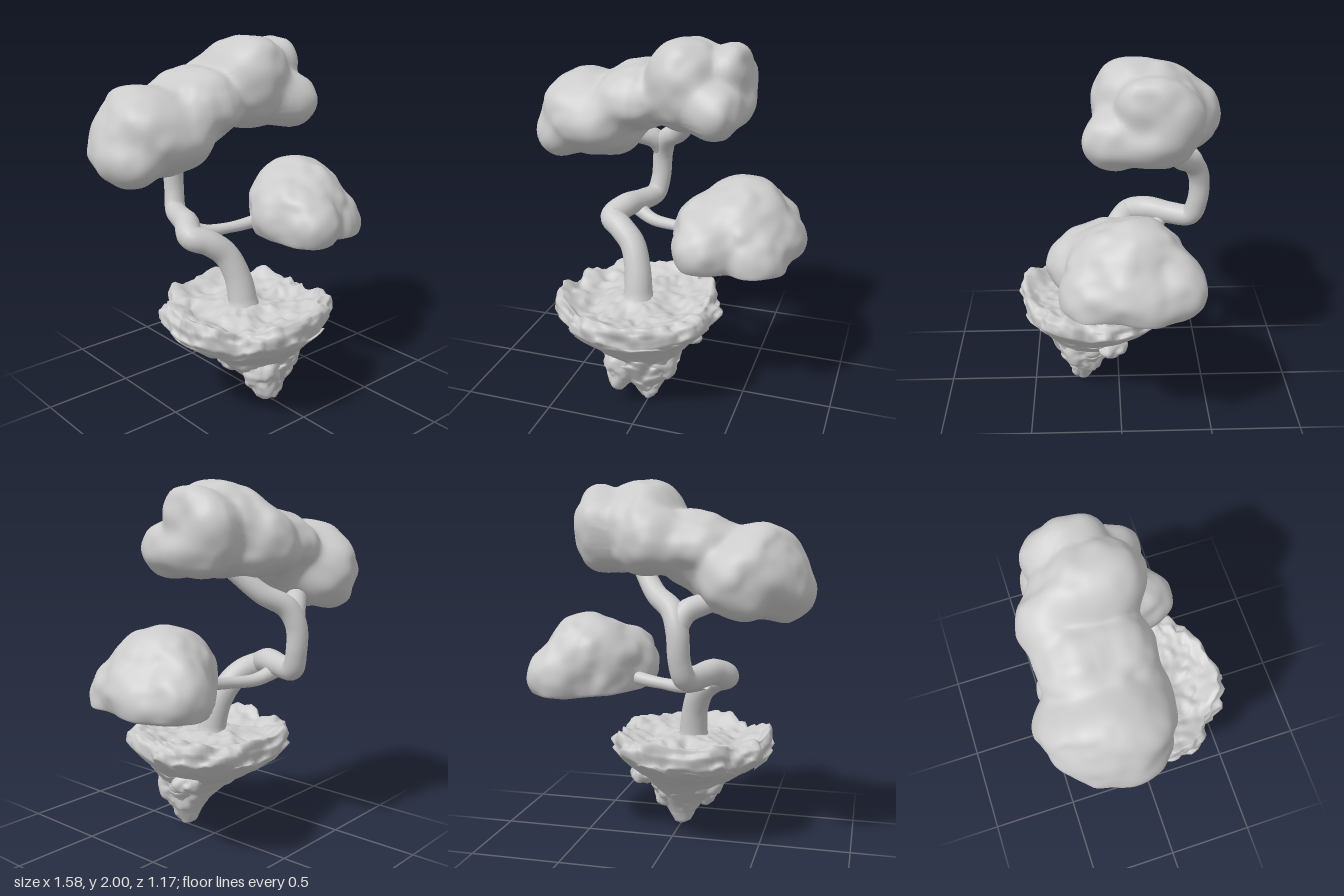
import * as THREE from 'three';
import { mergeVertices } from 'three/addons/utils/BufferGeometryUtils.js';

const material = new THREE.MeshStandardMaterial({ color: 0xcccccc, side: THREE.DoubleSide });

// Seeded value noise in the range -1..1
function hash(x, y, z) {
  const s = Math.sin(x * 127.1 + y * 311.7 + z * 74.7) * 43758.5453;
  return (s - Math.floor(s)) * 2 - 1;
}
function noise(x, y, z) {
  const [i, j, k] = [x, y, z].map(Math.floor);
  const [u, v, w] = [x - i, y - j, z - k].map((t) => t * t * (3 - 2 * t));
  const mix = THREE.MathUtils.lerp;
  const edge = (b, c) => mix(hash(i, j + b, k + c), hash(i + 1, j + b, k + c), u);
  return mix(mix(edge(0, 0), edge(1, 0), v), mix(edge(0, 1), edge(1, 1), v), w);
}

// Weld a geometry so that smooth normals run across its seams
function weld(geometry) {
  geometry.deleteAttribute('uv');
  geometry.deleteAttribute('normal');
  return mergeVertices(geometry, 1e-5);
}

// Size a single part so that it exactly fills a box
function fitBox(geometry, min, max) {
  geometry.computeBoundingBox();
  const { min: a, max: b } = geometry.boundingBox;
  const s = [0, 1, 2].map((i) => (max[i] - min[i]) / (b.getComponent(i) - a.getComponent(i)));
  geometry.translate(-a.x, -a.y, -a.z).scale(...s).translate(...min);
  geometry.computeVertexNormals();
  return geometry;
}

// Skin wrapped round blended ellipsoids [x, y, z, rx, ry, rz], seen from one centre
function blob(centre, ellipsoids, { detail, bump, frequency: f, floor = -1 }) {
  const geometry = weld(new THREE.IcosahedronGeometry(1, detail));
  const position = geometry.attributes.position;
  const c = new THREE.Vector3(...centre), d = new THREE.Vector3(), p = new THREE.Vector3();
  const field = (q) => ellipsoids.reduce((sum, [x, y, z, a, b, e]) =>
    sum + Math.exp(-9 * (Math.hypot((q.x - x) / a, (q.y - y) / b, (q.z - z) / e) - 1)), 0) - 1;
  for (let i = 0; i < position.count; i++) {
    d.fromBufferAttribute(position, i).normalize();
    let lo = 0, hi = 0.02;
    while (hi < 1.5 && field(p.copy(c).addScaledVector(d, hi)) > 0) { lo = hi; hi += 0.02; }
    for (let n = 0; n < 10; n++) {
      const mid = (lo + hi) / 2;
      if (field(p.copy(c).addScaledVector(d, mid)) > 0) lo = mid; else hi = mid;
    }
    p.copy(c).addScaledVector(d, lo);
    p.addScaledVector(d, bump * (noise(p.x * f, p.y * f, p.z * f)
      + 0.4 * noise(p.x * f * 2.3, p.y * f * 2.3, p.z * f * 2.3)));
    // Flattened underside
    if (p.y < floor) p.y = floor - (floor - p.y) * 0.25;
    position.setXYZ(i, p.x, p.y, p.z);
  }
  geometry.computeVertexNormals();
  return geometry;
}

// Tube through points [x, y, z, radius]
function limb(points, segments) {
  const curve = new THREE.CatmullRomCurve3(points.map((q) => new THREE.Vector3(q[0], q[1], q[2])));
  const sides = 18;
  const geometry = new THREE.TubeGeometry(curve, segments, 1, sides);
  const position = geometry.attributes.position;
  const p = new THREE.Vector3();
  for (let i = 0; i < position.count; i++) {
    const u = Math.floor(i / (sides + 1)) / segments;
    const centre = curve.getPointAt(u);
    const t = curve.getUtoTmapping(u) * (points.length - 1);
    const k = Math.min(Math.floor(t), points.length - 2);
    const r = THREE.MathUtils.lerp(points[k][3], points[k + 1][3], t - k);
    p.fromBufferAttribute(position, i).sub(centre).multiplyScalar(r).add(centre);
    position.setXYZ(i, p.x, p.y, p.z);
  }
  const welded = weld(geometry);
  welded.computeVertexNormals();
  return welded;
}

// Island: rings [y, centre x, centre z, radius x, radius z] from the top middle down to the tip
function island() {
  const rings = [
    [0.56, -0.09, 0.12, 0, 0], [0.55, -0.09, 0.12, 0.14, 0.14], [0.53, -0.09, 0.12, 0.27, 0.27],
    [0.55, -0.09, 0.12, 0.36, 0.36], [0.575, -0.08, 0.13, 0.41, 0.41], [0.54, -0.08, 0.13, 0.445, 0.44],
    [0.48, -0.08, 0.135, 0.45, 0.44], [0.43, -0.08, 0.14, 0.41, 0.4], [0.38, -0.07, 0.15, 0.34, 0.335],
    [0.32, -0.04, 0.18, 0.26, 0.25], [0.25, -0.03, 0.21, 0.205, 0.19], [0.17, -0.01, 0.235, 0.14, 0.13],
    [0.08, 0.01, 0.235, 0.075, 0.07], [0.02, 0.01, 0.23, 0.045, 0.04], [0, 0.01, 0.23, 0, 0],
  ];
  const columns = 110, rows = 84;
  const geometry = new THREE.SphereGeometry(1, columns, rows);
  const position = geometry.attributes.position;
  for (let i = 0; i < position.count; i++) {
    const t = Math.floor(i / (columns + 1)) / rows * (rings.length - 1);
    const k = Math.min(Math.floor(t), rings.length - 2);
    const [y, cx, cz, rx, rz] = rings[k].map((v, n) => THREE.MathUtils.lerp(v, rings[k + 1][n], t - k));
    const angle = Math.atan2(position.getZ(i), position.getX(i));
    const c = Math.cos(angle), s = Math.sin(angle);
    const x = cx + rx * c, z = cz + rz * s;
    // Craggy relief, strongest under the rim and fading at the tip
    const side = THREE.MathUtils.smoothstep(t, 2, 5);
    const tip = Math.min(1, rx / 0.15);
    const big = noise(x * 10, y * 10, z * 10), small = noise(x * 23, y * 23, z * 23);
    const push = side * tip * (0.042 * big + 0.024 * small);
    const lift = tip * (0.035 * big + 0.022 * small) - 0.035 * s * rz * (1 - side);
    position.setXYZ(i, x + c * push, y + lift, z + s * push);
  }
  return fitBox(weld(geometry), [-0.55, 0, -0.33], [0.385, 0.64, 0.585]);
}

export function createModel() {
  const model = new THREE.Group();
  const add = (name, geometry) => {
    const mesh = new THREE.Mesh(geometry, material);
    mesh.name = name;
    model.add(mesh);
  };

  // Floating rock with hanging spurs
  add('rockIsland', island());
  const spurs = [
    [-0.14, 0.25, 0.3, 0.09, 0.14, 0.11], [0.08, 0.27, 0.2, 0.09, 0.14, 0.12],
    [-0.16, 0.32, 0.12, 0.13, 0.1, 0.12], [0.18, 0.35, 0.04, 0.07, 0.07, 0.08],
    [0.01, 0.13, 0.235, 0.065, 0.12, 0.06],
  ];
  for (const spur of spurs) {
    add('rockSpur', blob(spur.slice(0, 3), [spur], { detail: 12, bump: 0.025, frequency: 14 }));
  }

  // Winding trunk, its fork and the low side branch
  add('trunk', limb([
    [-0.1, 0.5, 0.11, 0.12], [-0.1, 0.6, 0.105, 0.08], [-0.115, 0.74, 0.075, 0.073],
    [-0.16, 0.86, 0.03, 0.071], [-0.24, 0.93, -0.01, 0.07], [-0.315, 0.965, -0.07, 0.07],
    [-0.265, 1.005, -0.17, 0.069], [-0.21, 1.0, -0.3, 0.063], [-0.165, 1.01, -0.41, 0.06],
    [-0.145, 1.1, -0.445, 0.057], [-0.135, 1.25, -0.45, 0.058], [-0.1, 1.35, -0.41, 0.06],
    [0, 1.42, -0.33, 0.055], [0.1, 1.54, -0.22, 0.05],
  ], 110));
  add('upperFork', limb([
    [-0.135, 1.26, -0.45, 0.05], [-0.17, 1.345, -0.41, 0.06], [-0.27, 1.39, -0.35, 0.055], [-0.42, 1.47, -0.28, 0.045],
  ], 24));
  add('sideBranch', limb([
    [-0.235, 0.97, -0.25, 0.045], [-0.12, 0.925, -0.2, 0.036], [0.02, 0.925, -0.15, 0.031],
    [0.16, 0.94, -0.11, 0.036], [0.32, 0.98, -0.06, 0.04],
  ], 32));

  // Upper two-lobed foliage
  add('upperFoliage', fitBox(blob([-0.17, 1.64, -0.2], [
    [-0.5, 1.55, -0.22, 0.23, 0.22, 0.29], [-0.63, 1.44, -0.2, 0.14, 0.14, 0.22],
    [-0.43, 1.5, -0.42, 0.18, 0.16, 0.14], [-0.35, 1.52, -0.19, 0.2, 0.19, 0.27],
    [-0.17, 1.65, -0.2, 0.24, 0.175, 0.285], [0.12, 1.74, -0.15, 0.23, 0.24, 0.27],
    [0.33, 1.74, -0.22, 0.12, 0.19, 0.18], [0.29, 1.65, 0.0, 0.14, 0.14, 0.15],
    [0.31, 1.64, -0.15, 0.14, 0.12, 0.2], [0.03, 1.68, -0.35, 0.18, 0.16, 0.14],
    [0.34, 1.83, -0.16, 0.1, 0.12, 0.16], [0.1, 1.83, -0.05, 0.16, 0.15, 0.15],
  ], { detail: 34, bump: 0.025, frequency: 6 }), [-0.79, 1.28, -0.585], [0.47, 2, 0.19]));

  // Lower dome-shaped foliage
  add('lowerFoliage', fitBox(blob([0.44, 1.0, -0.03], [
    [0.43, 1.0, -0.03, 0.26, 0.26, 0.29], [0.29, 0.97, 0.18, 0.17, 0.17, 0.17],
    [0.63, 0.95, -0.08, 0.15, 0.17, 0.23], [0.55, 0.97, -0.25, 0.18, 0.2, 0.16],
    [0.57, 0.94, 0.12, 0.16, 0.16, 0.17], [0.27, 1.0, 0.04, 0.17, 0.19, 0.22],
    [0.48, 1.08, -0.1, 0.2, 0.19, 0.21],
  ], { detail: 28, bump: 0.025, frequency: 6, floor: 0.89 }), [0.09, 0.835, -0.425], [0.79, 1.29, 0.39]));

  return model;
}
